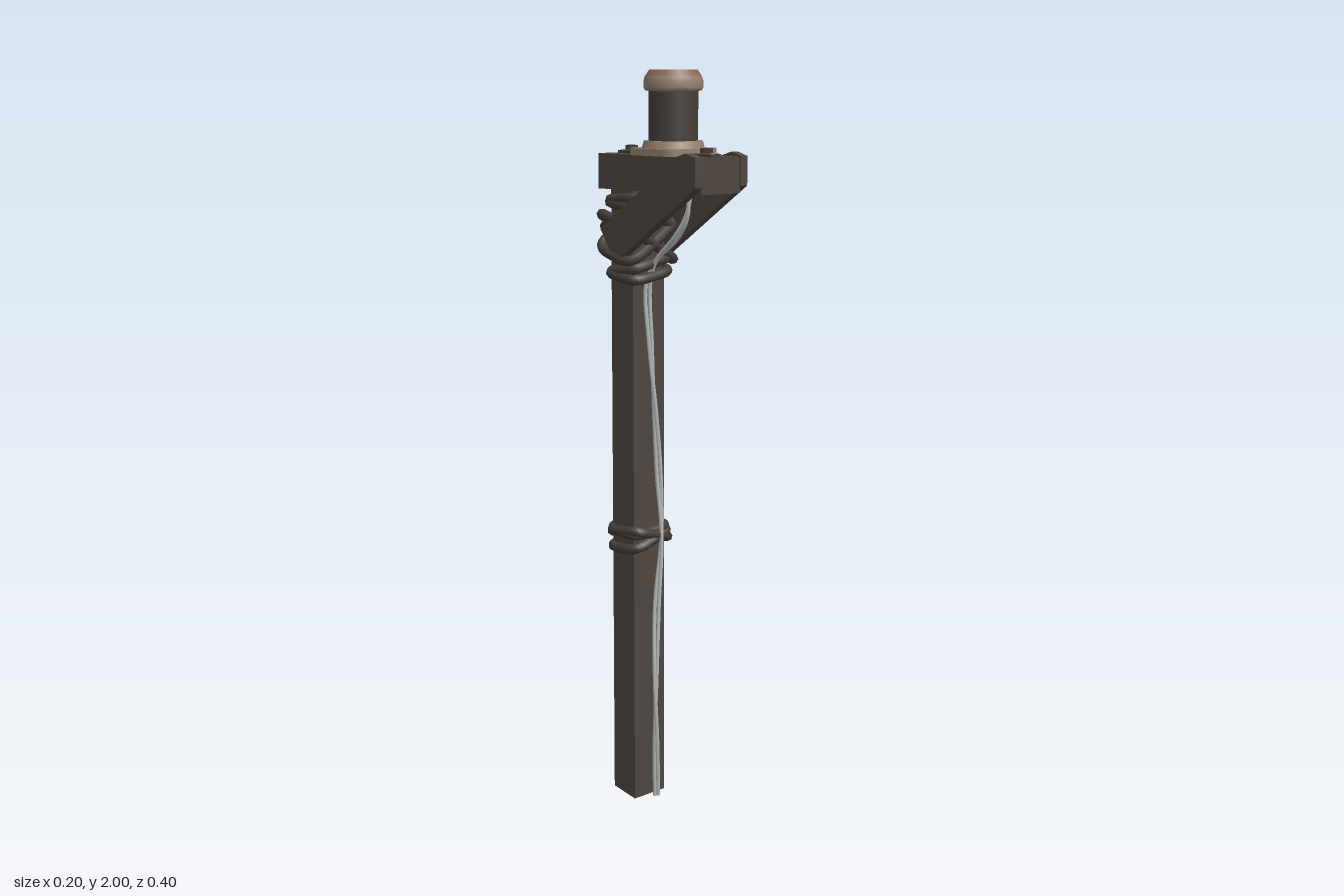
import * as THREE from 'three';

const mat = (name, color, double) => {
  const m = new THREE.MeshStandardMaterial({ color });
  m.name = name;
  if (double) m.side = THREE.DoubleSide;
  return m;
};

export function createModel() {
  const root = new THREE.Group();
  root.name = 'lampPost';
  const wood = mat('dark wood', 0x4f463f);
  const rope = mat('rope', 0x453d38);
  const iron = mat('dark metal', 0x463e3a);
  const collar = mat('tan metal', 0x96826f);
  const copper = mat('copper glass', 0x8a6753);
  const cableMat = mat('pale cable', 0xb4babb);

  const add = (name, geo, material, x = 0, y = 0, z = 0) => {
    const m = new THREE.Mesh(geo, material);
    m.name = name;
    m.position.set(x, y, z);
    root.add(m);
    return m;
  };

  // Square post, with its foot cut a little askew
  const postGeo = new THREE.BoxGeometry(0.112, 1.69, 0.084);
  const p = postGeo.attributes.position;
  for (let i = 0; i < p.count; i++)
    if (p.getY(i) < 0 && p.getZ(i) < 0) p.setY(i, p.getY(i) + 0.015);
  postGeo.computeVertexNormals();
  add('post', postGeo, wood, -0.008, 0.855, -0.11);

  // Cross beam on top of the post
  add('beam', new THREE.BoxGeometry(0.14, 0.092, 0.385), wood, -0.004, 1.738, 0.002);

  // Slanted braces on both sides, outlined in (z, y)
  const outline = [[0.165, 1.795], [0.2, 1.785], [0.2, 1.71], [-0.075, 1.52],
    [-0.12, 1.535], [-0.155, 1.59], [0.13, 1.785]];
  const braceShape = new THREE.Shape(outline.map(([z, y]) => new THREE.Vector2(-z, y)));
  for (const [name, x, depth] of [['rightBrace', -0.1, 0.028], ['leftBrace', 0.064, 0.023]]) {
    const g = new THREE.ExtrudeGeometry(braceShape, { depth, bevelEnabled: false });
    g.rotateY(Math.PI / 2);
    add(name, g, wood, x, 0, 0);
  }

  // Rounded base plate of the lamp
  const LX = -0.002, LZ = 0.02;
  const h = 0.089, r = 0.035;
  const plate = new THREE.Shape();
  plate.moveTo(-h + r, -h);
  plate.lineTo(h - r, -h);
  plate.absarc(h - r, -h + r, r, -Math.PI / 2, 0);
  plate.absarc(h - r, h - r, r, 0, Math.PI / 2);
  plate.absarc(-h + r, h - r, r, Math.PI / 2, Math.PI);
  plate.absarc(-h + r, -h + r, r, Math.PI, Math.PI * 1.5);
  const plateGeo = new THREE.ExtrudeGeometry(plate, { depth: 0.018, bevelEnabled: false, curveSegments: 6 });
  plateGeo.rotateX(-Math.PI / 2);
  add('lampBase', plateGeo, collar, LX, 1.784, LZ);
  add('lampCollar', new THREE.CylinderGeometry(0.076, 0.082, 0.02, 24), collar, LX, 1.811, LZ);

  // Lamp body and domed cap
  add('lampBody', new THREE.CylinderGeometry(0.064, 0.064, 0.14, 24), iron, LX, 1.885, LZ);
  const lathe = pts => new THREE.LatheGeometry(pts.map(([a, b]) => new THREE.Vector2(a, b)), 24);
  add('capRim', lathe([[0.06, 1.945], [0.073, 1.948], [0.077, 1.955], [0.077, 1.972], [0.073, 1.984]]), collar, LX, 0, LZ);
  add('capShoulder', lathe([[0.073, 1.984], [0.062, 2.0]]), copper, LX, 0, LZ);
  const top = new THREE.CircleGeometry(0.062, 24);
  top.rotateX(-Math.PI / 2);
  add('capTop', top, copper, LX, 2, LZ);

  // Metal tabs bolted to the beam, before and behind the lamp
  for (const [name, z, len, boltZ] of [['rear', -0.118, 0.096, -0.133], ['front', 0.142, 0.076, 0.146]]) {
    add(name + 'Tab', new THREE.BoxGeometry(0.038, 0.008, len), iron, -0.007, 1.787, z);
    add(name + 'Washer', new THREE.BoxGeometry(0.03, 0.004, 0.06), collar, -0.007, 1.791, boltZ);
    add(name + 'Bolt', new THREE.CylinderGeometry(0.017, 0.017, 0.016, 6), iron, -0.007, 1.797, boltZ);
  }

  // Rope turns: rounded rectangles round the post, tilted along x and z
  const ropeTurn = (name, y, hx, hz, tiltX, tiltZ, cx = -0.008, cz = -0.11, radius = 0.014) => {
    const pts = [];
    for (let i = 0; i < 16; i++) {
      const a = (i / 16) * Math.PI * 2;
      const c = Math.cos(a), s = Math.sin(a);
      const u = Math.sign(c) * Math.abs(c) ** 0.45, v = Math.sign(s) * Math.abs(s) ** 0.45;
      pts.push(new THREE.Vector3(cx + u * hx, y + u * tiltX + v * tiltZ, cz + v * hz));
    }
    const curve = new THREE.CatmullRomCurve3(pts, true);
    add(name, new THREE.TubeGeometry(curve, 48, radius, 7, true), rope);
  };
  // Middle lashing
  ropeTurn('middleRope', 0.775, 0.062, 0.054, 0.006, -0.004);
  ropeTurn('middleRope', 0.755, 0.065, 0.06, -0.018, 0.008, -0.006, -0.107);
  ropeTurn('middleRope', 0.745, 0.063, 0.055, 0.02, 0.004, -0.009, -0.105);
  // Turns just under the beam
  ropeTurn('upperRope', 1.672, 0.063, 0.056, 0.004, 0.005);
  ropeTurn('upperRope', 1.645, 0.064, 0.056, -0.008, -0.006);
  // Turns below the braces
  ropeTurn('lowerRope', 1.495, 0.066, 0.054, 0.014, 0.006, -0.01, -0.1);
  ropeTurn('lowerRope', 1.475, 0.067, 0.056, 0.01, -0.008, -0.014, -0.098);
  // Crossing turns that bind the braces to the post
  ropeTurn('crossRope', 1.575, 0.086, 0.068, 0.055, -0.02, -0.004, -0.115);
  ropeTurn('crossRope', 1.565, 0.086, 0.07, -0.05, -0.02, -0.002, -0.117);
  ropeTurn('crossRope', 1.59, 0.083, 0.066, -0.03, 0.03, -0.003, -0.112, 0.012);

  // Two-strand cable hanging down the front of the post
  const path = [[0.006, 0.005, -0.055], [-0.008, 0.17, -0.042], [-0.016, 0.36, -0.034],
    [-0.004, 0.56, -0.042], [0.01, 0.76, -0.038], [0.008, 0.92, -0.046], [-0.006, 1.1, -0.046],
    [-0.018, 1.28, -0.05], [-0.02, 1.45, -0.056], [-0.014, 1.51, -0.03],
    [-0.008, 1.57, 0.035], [-0.006, 1.63, 0.075], [-0.005, 1.7, 0.085]];
  for (const side of [-1, 1]) {
    const pts = path.map(([x, y, z], i) => new THREE.Vector3(
      x + side * 0.004 * Math.cos(i * 1.3), y, z + side * 0.005 * Math.sin(i * 1.3 + 0.6)));
    const curve = new THREE.CatmullRomCurve3(pts);
    add('cable', new THREE.TubeGeometry(curve, 90, 0.0055, 6), cableMat);
  }
  return root;
}
